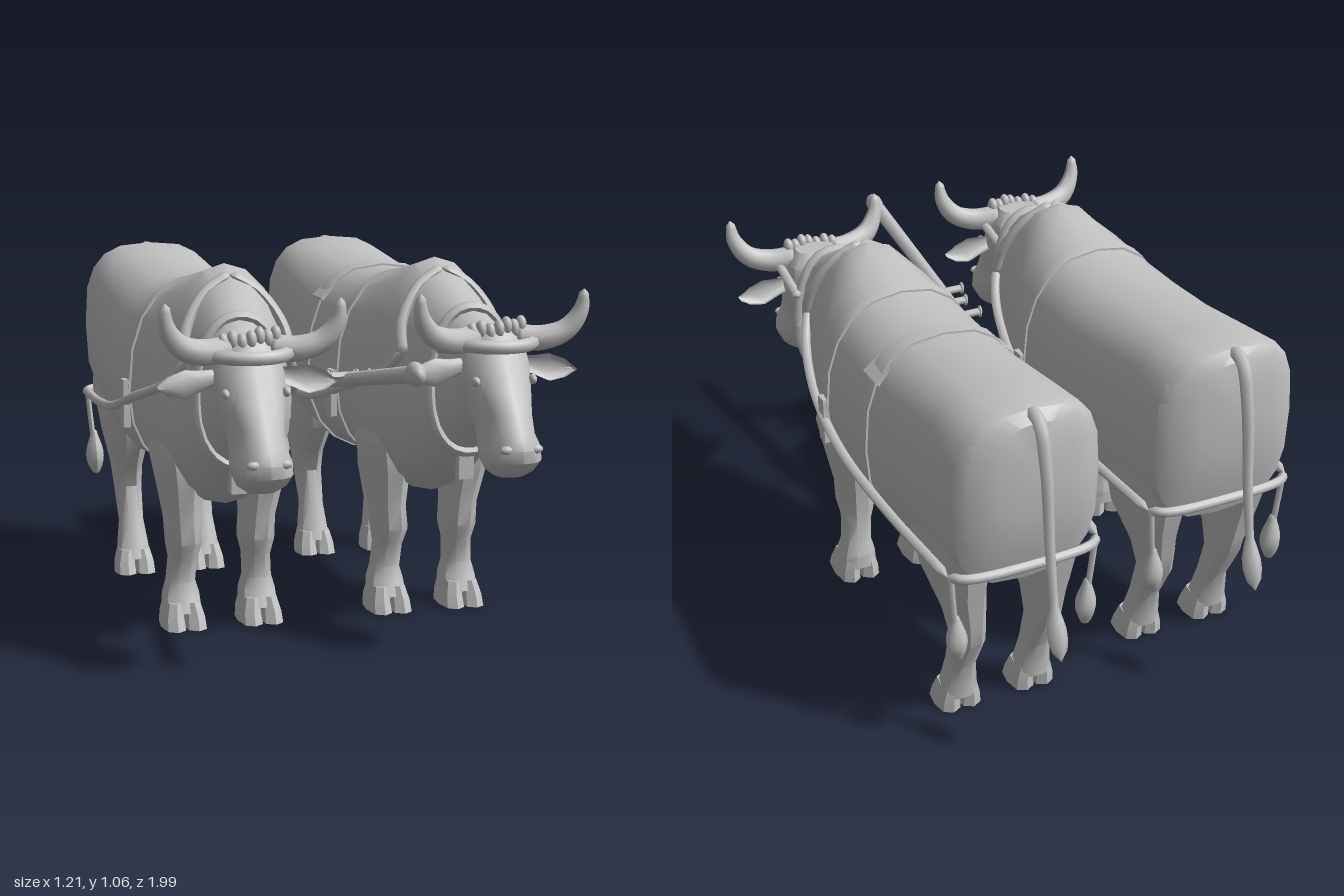
import * as THREE from 'three';
import { toCreasedNormals } from 'three/addons/utils/BufferGeometryUtils.js';

const grey = new THREE.MeshStandardMaterial({ color: 0xc0c0c0 });
grey.name = 'plain grey';

const V = (p) => new THREE.Vector3(...p);

function add(parent, name, geo) {
  const mesh = new THREE.Mesh(geo, grey);
  mesh.name = name;
  parent.add(mesh);
  return mesh;
}

// Skin a list of point rings and close both ends
function loft(rings) {
  const n = rings[0].length, pos = rings.flat(2), idx = [];
  for (let r = 0; r < rings.length - 1; r++) {
    for (let i = 0; i < n; i++) {
      const j = (i + 1) % n, a = r * n + i, b = r * n + j;
      idx.push(a, b, b + n, a, b + n, a + n);
    }
  }
  const last = (rings.length - 1) * n, c = rings.length * n;
  for (const ring of [rings[0], rings[rings.length - 1]]) {
    for (let k = 0; k < 3; k++) pos.push(ring.reduce((s, p) => s + p[k], 0) / n);
  }
  for (let i = 0; i < n; i++) {
    const j = (i + 1) % n;
    idx.push(c, j, i, c + 1, last + i, last + j);
  }
  const geo = new THREE.BufferGeometry();
  geo.setAttribute('position', new THREE.Float32BufferAttribute(pos, 3));
  geo.setIndex(idx);
  return toCreasedNormals(geo, 0.65);
}

function ring(n, p, place) {
  const pw = (v) => Math.sign(v) * Math.abs(v) ** p;
  return Array.from({ length: n }, (_, i) => {
    const a = (i / n) * Math.PI * 2;
    return place(pw(Math.cos(a)), pw(Math.sin(a)));
  });
}

// Limb-like solid from horizontal slices, top first: [y, cx, cz, rx, rz]
const stack = (rows, n = 10, p = 0.85) => loft(rows.map(([y, cx, cz, rx, rz]) =>
  ring(n, p, (c, s) => [cx + rx * c, y, cz + rz * s])));

// Tube with varying radius; open tubes are pinched shut at both ends
function tube(points, radius, { closed = false, seg = 24, sides = 7 } = {}) {
  const curve = new THREE.CatmullRomCurve3(points.map(V), closed);
  const geo = new THREE.TubeGeometry(curve, seg, 1, sides, closed);
  const pos = geo.attributes.position, v = new THREE.Vector3();
  for (let i = 0; i < pos.count; i++) {
    const k = Math.floor(i / (sides + 1)), t = k / seg, c = curve.getPointAt(t);
    let r = typeof radius === 'function' ? radius(t) : radius;
    if (!closed && (k === 0 || k === seg)) r = 0.0005;
    v.fromBufferAttribute(pos, i).sub(c).multiplyScalar(r).add(c);
    pos.setXYZ(i, v.x, v.y, v.z);
  }
  geo.computeVertexNormals();
  return geo;
}

function blob(parent, name, at, size) {
  const m = add(parent, name, new THREE.SphereGeometry(1, 12, 8));
  m.position.set(...at);
  m.scale.set(...size);
  return m;
}

// Torso and neck: [z, top, widest, bottom, half width, squareness, sideways bend]
const TORSO = [
  [-0.835, 1.0, 0.84, 0.72, 0.11, 0.75, 0], [-0.81, 1.03, 0.8, 0.6, 0.185, 0.68, 0],
  [-0.775, 1.035, 0.78, 0.5, 0.215, 0.68, 0], [-0.62, 1.02, 0.75, 0.45, 0.226, 0.74, 0],
  [-0.4, 1.0, 0.7, 0.43, 0.23, 0.78, 0], [-0.2, 0.99, 0.68, 0.42, 0.24, 0.8, 0],
  [0, 1.0, 0.68, 0.435, 0.238, 0.85, 0], [0.13, 1.035, 0.67, 0.4, 0.222, 0.92, 0],
  [0.23, 1.06, 0.66, 0.37, 0.198, 0.98, 0], [0.33, 1.015, 0.67, 0.42, 0.165, 0.95, 0],
  [0.42, 0.965, 0.7, 0.49, 0.132, 0.9, 0.012], [0.52, 0.91, 0.73, 0.575, 0.1, 0.9, 0.03],
  [0.6, 0.87, 0.75, 0.65, 0.075, 0.9, 0.035],
];
function torsoAt(z) {
  const k = Math.max(1, TORSO.findIndex((s) => s[0] >= z));
  const a = TORSO[k - 1], b = TORSO[k], t = (z - a[0]) / (b[0] - a[0]);
  return a.map((v, i) => v + (b[i] - v) * t);
}
const torsoRing = ([z, top, mid, bot, hw, p, bend], s, grow = 0) => ring(20, p, (c, q) => [
  s * bend + (hw + grow) * c,
  mid + q * ((q > 0 ? top - mid : mid - bot) + grow), z]);

const FRONT_LEG = [
  [0.66, 0.1, 0.14, 0.08, 0.12], [0.52, 0.128, 0.155, 0.078, 0.115], [0.42, 0.12, 0.155, 0.065, 0.1],
  [0.32, 0.113, 0.15, 0.053, 0.072], [0.25, 0.108, 0.155, 0.055, 0.066], [0.2, 0.11, 0.147, 0.043, 0.052],
  [0.13, 0.115, 0.138, 0.044, 0.048], [0.09, 0.115, 0.14, 0.056, 0.058], [0.045, 0.115, 0.15, 0.06, 0.066],
];
const REAR_LEG = [
  [0.78, 0.12, -0.6, 0.09, 0.19], [0.58, 0.135, -0.6, 0.085, 0.185], [0.44, 0.13, -0.6, 0.066, 0.15],
  [0.34, 0.12, -0.645, 0.05, 0.085], [0.27, 0.115, -0.655, 0.045, 0.06], [0.16, 0.115, -0.61, 0.04, 0.045],
  [0.09, 0.115, -0.595, 0.05, 0.05], [0.045, 0.115, -0.585, 0.055, 0.054],
];

function leg(parent, name, rows, side, hoofLength) {
  add(parent, name, stack(rows.map(([y, x, z, rx, rz]) => [y, side * x, z, rx, rz])));
  const [, x, z] = rows[rows.length - 1];
  // Cloven hoof
  for (const t of [-1, 1]) {
    const cx = side * x + t * 0.031;
    add(parent, name + 'Hoof', stack([
      [0.075, cx - t * 0.006, z, 0.026, hoofLength * 0.75],
      [0.035, cx, z + 0.008, 0.031, hoofLength * 0.9],
      [0, cx, z + 0.015, 0.034, hoofLength]], 8, 0.75));
  }
}

function makeHead(ox, s) {
  const head = new THREE.Group();
  head.name = 'head';
  head.position.x = s * 0.035;
  ox.add(head);
  add(head, 'skull', stack([
    [0.905, 0, 0.59, 0.06, 0.05], [0.865, 0, 0.58, 0.09, 0.085], [0.8, 0, 0.58, 0.102, 0.12],
    [0.74, 0, 0.61, 0.094, 0.13], [0.68, 0, 0.65, 0.077, 0.132], [0.63, 0, 0.692, 0.07, 0.122],
    [0.595, 0, 0.724, 0.08, 0.106], [0.56, 0, 0.735, 0.081, 0.09], [0.53, 0, 0.73, 0.066, 0.066],
    [0.512, 0, 0.725, 0.04, 0.04]], 16, 0.9));
  for (const m of [-1, 1]) {
    add(head, 'horn', tube([[m * 0.05, 0.875, 0.61], [m * 0.13, 0.87, 0.63], [m * 0.195, 0.892, 0.645],
      [m * 0.232, 0.945, 0.66], [m * 0.238, 1.007, 0.67]], (t) => 0.036 - 0.026 * t ** 2.6, { sides: 10 }));
    // Leaf-shaped ear
    add(head, 'ear', loft([[0.245, 0.775, 0.004], [0.215, 0.778, 0.027], [0.17, 0.782, 0.04],
      [0.125, 0.79, 0.028], [0.08, 0.8, 0.02]].map(([x, y, r]) => ring(10, 1, (c, q) =>
      [m * x, y + r * q, 0.6 - m * 0.018 * c]))
      .sort((a, b) => b[0][0] - a[0][0]).map((points) => (m > 0 ? points.reverse() : points).reverse())
      .map((points) => (m > 0 ? points : points.reverse()))));
    blob(head, 'eye', [m * 0.083, 0.765, 0.685], [0.011, 0.014, 0.018]);
    blob(head, 'nostril', [m * 0.042, 0.597, 0.812], [0.02, 0.012, 0.012]);
    // Halter cord from brow to neck
    add(head, 'halterCord', tube([[m * 0.11, 0.86, 0.62], [m * 0.112, 0.84, 0.53],
      [m * 0.112, 0.82, 0.45]], 0.014));
  }
  // Brow band with a ragged fringe
  add(head, 'browBand', tube([[-0.115, 0.865, 0.625], [-0.075, 0.858, 0.67], [0, 0.856, 0.69],
    [0.075, 0.858, 0.67], [0.115, 0.865, 0.625]], 0.019));
  for (let i = -3; i <= 3; i++) {
    blob(head, 'fringe', [i * 0.024, 0.9 + (i % 2) * 0.008, 0.64 - Math.abs(i) * 0.006], [0.015, 0.026, 0.02]);
  }
}

// rear shortens the hindquarters, stride brings the hind feet forward
function makeOx(s, rear, stride) {
  const ox = new THREE.Group();
  ox.name = s > 0 ? 'leftOx' : 'rightOx';
  const backZ = (z) => (z < 0 ? z * rear : z);
  const rope = (name, points, r, options) =>
    add(ox, name, tube(points.map(([x, y, z]) => [x, y, backZ(z)]), r, options));
  add(ox, 'torso', loft(TORSO.map(([z, ...row]) => torsoRing([backZ(z), ...row], s))));
  makeHead(ox, s);
  const rearLeg = REAR_LEG.map(([y, x, z, rx, rz]) => [y, x, backZ(z) + stride * (1 - y / 0.78), rx, rz]);
  for (const m of [-1, 1]) {
    leg(ox, 'frontLeg', FRONT_LEG, m, 0.08);
    leg(ox, 'rearLeg', rearLeg, m, 0.062);
  }
  // Tail with tuft
  const tail = add(ox, 'tail', tube([[0, 1.015, -0.78], [0, 1.01, -0.845], [0, 0.9, -0.885], [0, 0.65, -0.915],
    [0, 0.44, -0.955], [0, 0.36, -0.985]],
  (t) => (t < 0.8 ? 0.02 - 0.01 * t : 0.012 + 0.016 * Math.sin((t - 0.8) * 5 * Math.PI))));
  tail.position.z = 0.8 * (1 - rear);

  // Harness: traces, breeching rope, tassels, collar and neck rope
  for (const m of [-1, 1]) {
    rope('traceRope', [[m * 0.14, 0.82, 0.39], [m * 0.185, 0.74, 0.3], [m * 0.237, 0.67, 0.1],
      [m * 0.252, 0.61, -0.12], [m * 0.246, 0.58, -0.4], [m * 0.222, 0.56, -0.77]], 0.014, { seg: 32 });
    rope('tasselCord', [[m * 0.215, 0.565, -0.77], [m * 0.208, 0.48, -0.765], [m * 0.198, 0.38, -0.76]], 0.009);
    rope('tassel', [[m * 0.198, 0.43, -0.76], [m * 0.195, 0.35, -0.76], [m * 0.192, 0.28, -0.76]],
      (t) => 0.008 + 0.022 * Math.sin(Math.PI * t ** 1.3));
    const strap = add(ox, 'traceKeeper', new THREE.BoxGeometry(0.02, 0.14, 0.04));
    strap.position.set(m * 0.243, 0.64, 0.02);
    rope('collar', [[0, 1.035, 0.29], [m * 0.08, 0.985, 0.31], [m * 0.14, 0.89, 0.345],
      [m * 0.15, 0.8, 0.38]], 0.016);
  }
  rope('breechingRope', [[-0.222, 0.56, -0.76], [-0.19, 0.56, -0.795], [0, 0.56, -0.812],
    [0.19, 0.56, -0.795], [0.222, 0.56, -0.76]], 0.014);
  rope('neckRope', torsoRing(torsoAt(0.47), s, 0.004), 0.016, { closed: true, seg: 36 });
  const flap = add(ox, 'throatStrap', new THREE.BoxGeometry(0.045, 0.08, 0.03));
  flap.position.set(s * 0.02, 0.485, 0.44);

  // Girth bands around the torso
  for (const [z, w] of s > 0 ? [[0.02, 0.045], [-0.25, 0.06]] : [[0.02, 0.045]]) {
    add(ox, 'girthBand', loft([z - w / 2, z + w / 2].map((q) => torsoRing(torsoAt(q), s, 0.006))));
  }
  if (s > 0) {
    for (const m of [-1, 1]) {
      const pad = add(ox, 'saddlePad', new THREE.BoxGeometry(0.09, 0.03, 0.09));
      pad.position.set(m * 0.165, 0.915, -0.25);
      pad.rotation.z = -m * 0.7;
    }
  }
  return ox;
}

export function createModel() {
  const model = new THREE.Group();
  const left = makeOx(1, 1, 0), right = makeOx(-1, 0.935, 0.04);
  left.position.x = 0.31;
  right.position.x = -0.32;
  model.add(left, right);

  // Sloping draught pole between the pair
  const pole = new THREE.Group();
  pole.name = 'pole';
  const poleY = (z) => 0.59 + (z + 0.45) * 0.178;
  const along = (z0, z1) => [z0, (z0 + z1) / 2, z1].map((z) => [-0.01, poleY(z), z]);
  add(pole, 'shaft', tube(along(-0.45, 0.97), (t) => 0.014 + 0.009 * t, { seg: 48, sides: 8 }));
  blob(pole, 'poleTip', [-0.01, poleY(0.95), 0.95], [0.024, 0.032, 0.045]);
  for (const z of [0.28, 0.35, 0.41]) {
    const w = z === 0.35 ? 0.045 : 0.06, y = poleY(z) + 0.01;
    add(pole, 'crossPeg', tube([[-0.01 - w, y, z], [-0.01, y, z], [-0.01 + w, y, z]], 0.012));
    for (const m of [-1, 1]) blob(pole, 'pegEnd', [-0.01 + m * w, y, z], [0.007, 0.02, 0.012]);
  }
  model.add(pole);
  return model;
}
